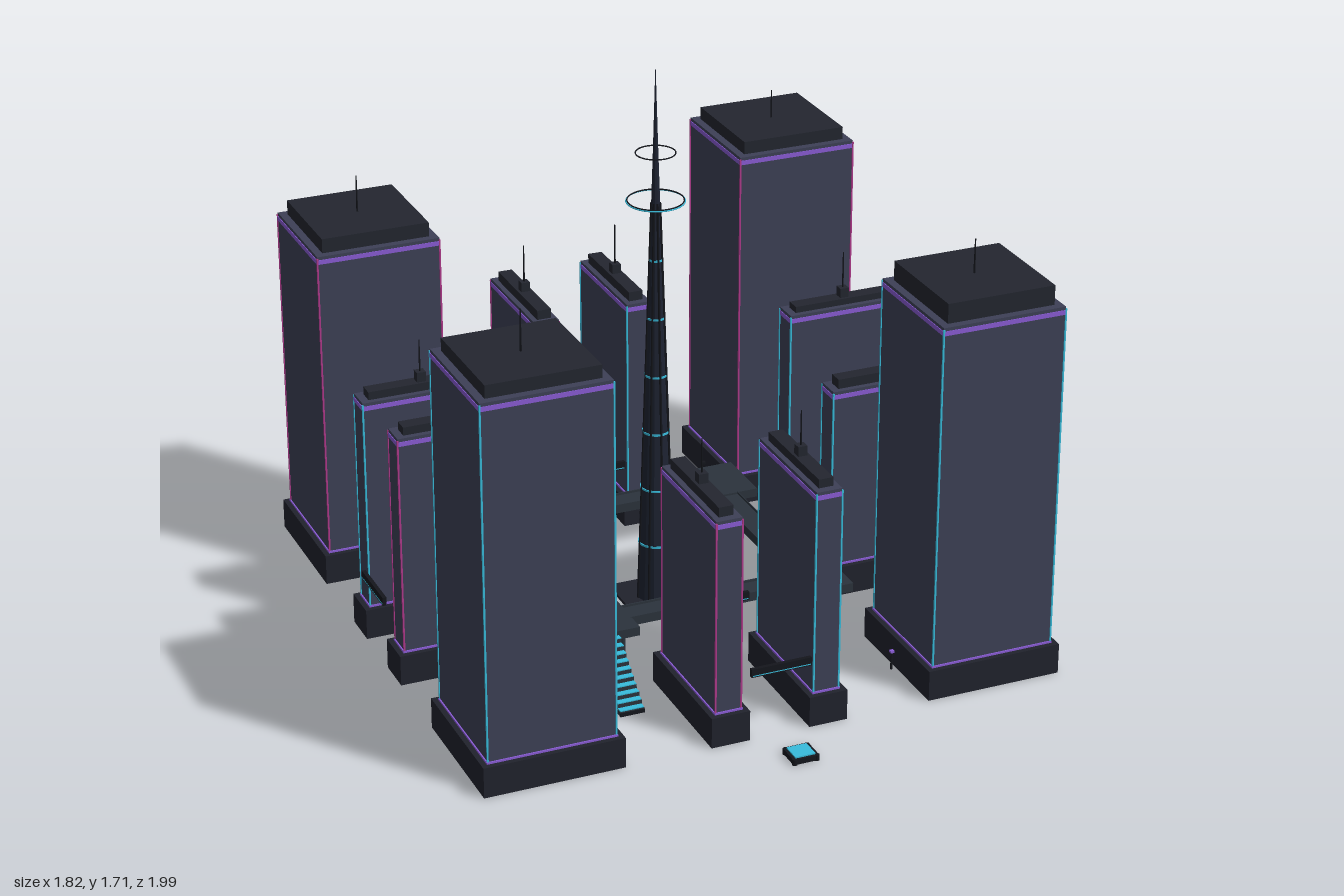
import * as THREE from 'three';

const mat = (color) => new THREE.MeshStandardMaterial({ color });
const CZ = -0.092; // z of the plaza centre

export function createModel() {
  const root = new THREE.Group();
  root.name = 'cityBlock';
  const M = {
    wall: mat(0x3d4056), podium: mat(0x20222c), roof: mat(0x23262f), deck: mat(0x2b333c),
    spire: mat(0x1e2332), metal: mat(0x14161c),
    teal: mat(0x38bcdc), purple: mat(0x8a5cd6), magenta: mat(0xb03a8c),
  };

  // Box standing on y
  const box = (parent, name, m, w, h, d, x, y, z) => {
    const mesh = new THREE.Mesh(new THREE.BoxGeometry(w, h, d), m);
    mesh.name = name;
    mesh.position.set(x, y + h / 2, z);
    parent.add(mesh);
    return mesh;
  };
  // Upright cylinder standing on y
  const post = (parent, name, m, rTop, rBase, h, x, y, z, sides = 8) => {
    const mesh = new THREE.Mesh(new THREE.CylinderGeometry(rTop, rBase, h, sides), m);
    mesh.name = name;
    mesh.position.set(x, y + h / 2, z);
    parent.add(mesh);
    return mesh;
  };
  const group = (name, x, z) => {
    const g = new THREE.Group();
    g.name = name;
    g.position.set(x, 0, z + CZ);
    root.add(g);
    return g;
  };

  // Building: podium, body, light strips, roof cap and antenna
  function building(name, x, z, w, d, top, capTop, antennaTop, edge) {
    const g = group(name, x, z);
    const bw = w - 0.04, bd = d - 0.04;
    const cw = w > 0.2 ? w - 0.088 : 0.045, cd = d > 0.2 ? d - 0.088 : 0.045;
    box(g, 'podium', M.podium, w, 0.095, d, 0, 0, 0);
    box(g, 'podiumStrip', M.purple, bw + 0.008, 0.006, bd + 0.008, 0, 0.095, 0);
    box(g, 'body', M.wall, bw, top - 0.095, bd, 0, 0.095, 0);
    box(g, 'roofStrip', M.purple, bw + 0.004, 0.014, bd + 0.004, 0, top - 0.024, 0);
    for (const sx of [-1, 1]) for (const sz of [-1, 1])
      box(g, 'edgeLight', edge, 0.005, top - 0.1, 0.005, sx * bw / 2, 0.095, sz * bd / 2);
    box(g, 'roofCap', M.roof, cw, capTop - top, cd, 0, top, 0);
    post(g, 'antenna', M.metal, 0.0018, 0.003, antennaTop - capTop, 0, capTop, 0, 6);
    if (w < 0.2 || d < 0.2) box(g, 'antennaBase', M.roof, 0.028, 0.03, 0.028, 0, capTop, 0);
  }

  // Four corner towers
  const P = 0.688, Q = 0.153, L = 0.425, S = 0.119;
  [[-P, P, 1.193, 1.232, 1.358, M.teal], [P, P, 1.17, 1.23, 1.335, M.teal],
    [P, -P, 1.185, 1.225, 1.315, M.magenta], [-P, -P, 1.08, 1.125, 1.24, M.magenta],
  ].forEach(([x, z, ...h]) => building('cornerTower', x, z, L, L, ...h));

  // Pairs of slab buildings on each side
  [[-Q, P, 0.705, 0.735, 0.87, M.magenta], [Q, P, 0.735, 0.762, 0.9, M.teal],
    [-Q, -P, 0.745, 0.775, 0.925, M.magenta], [Q, -P, 0.755, 0.785, 0.945, M.teal],
  ].forEach(([x, z, ...h]) => building('slabTower', x, z, S, L, ...h));
  [[P, Q, 0.68, 0.71, 0.86, M.teal], [P, -Q, 0.805, 0.825, 0.97, M.teal],
    [-P, Q, 0.785, 0.81, 0.93, M.magenta], [-P, -Q, 0.765, 0.79, 0.92, M.teal],
  ].forEach(([x, z, ...h]) => building('slabTower', x, z, L, S, ...h));

  // Crossbars over the alleys between the slabs
  for (const s of [-1, 1]) for (const r of [0.474, 0.903]) {
    const a = group('alleyBar', 0, s * r), b = group('alleyBar', s * r, 0);
    box(a, 'bar', M.metal, 0.187, 0.026, 0.012, 0, 0.206, 0);
    box(a, 'barLight', M.teal, 0.18, 0.003, 0.013, 0, 0.209, 0);
    box(b, 'bar', M.metal, 0.012, 0.026, 0.187, 0, 0.206, 0);
    box(b, 'barLight', M.teal, 0.013, 0.003, 0.18, 0, 0.209, 0);
  }

  // Raised walkway: corner pads on posts joined by bridges
  const R = 0.345, walk = group('walkway', 0, 0);
  for (const s of [-1, 1]) {
    box(walk, 'bridge', M.deck, 0.49, 0.022, 0.078, 0, 0.143, s * R);
    box(walk, 'bridge', M.deck, 0.078, 0.022, 0.49, s * R, 0.143, 0);
    for (const t of [-1, 1]) {
      box(walk, 'bridgeRail', M.deck, 0.49, 0.012, 0.004, 0, 0.16, s * R + t * 0.037);
      box(walk, 'bridgeRail', M.deck, 0.004, 0.012, 0.49, s * R + t * 0.037, 0.16, 0);
      box(walk, 'cornerPad', M.deck, 0.207, 0.028, 0.205, s * R, 0.143, t * R);
      for (const [px, pz] of [[0, 0], [-1, -1], [-1, 1], [1, -1], [1, 1]])
        post(walk, 'padPost', M.deck, 0.008, 0.008, 0.143, s * R + px * 0.065, 0, t * R + pz * 0.065);
    }
  }

  // Lit stairs down from two opposite pads
  for (const s of [-1, 1]) {
    const stair = group('stairs', -s * R, s * 0.446);
    const n = 10, run = 0.188 / n;
    for (let i = 0; i < n; i++) {
      const y = 0.155 * (1 - i / n), z = s * run * (i + 0.5);
      box(stair, 'step', M.deck, 0.076, 0.014, run, 0, y - 0.014, z);
      box(stair, 'tread', M.teal, 0.074, 0.003, run, 0, y, z);
    }
    box(stair, 'footPlate', M.metal, 0.076, 0.012, 0.006, 0, 0, s * 0.188);
  }

  // Central spire
  const spire = group('spire', 0, 0);
  const radius = (y) => (y < 1.3 ? 0.06 - 0.036 * y : 0.0132 * (1.71 - y) / 0.41);
  box(spire, 'basePlate', M.podium, 0.222, 0.01, 0.222, 0, 0, 0);
  const stops = [0.01, 0.195, 0.38, 0.565, 0.75, 0.935, 1.12, 1.305, 1.49, 1.71];
  M.spire.flatShading = true;
  for (let i = 0; i < stops.length - 1; i++) {
    const [a, b] = [stops[i], stops[i + 1]];
    post(spire, 'shaft', M.spire, Math.max(radius(b), 0.0008), radius(a), b - a, 0, a, 0, 12);
    if (i > 0 && i < 7) post(spire, 'lightRing', M.teal, radius(a) + 0.002, radius(a) + 0.002, 0.006, 0, a - 0.003, 0, 24);
  }
  // Ribs leaning along the shaft
  for (let i = 0; i < 8; i++) {
    const a = i * Math.PI / 4;
    const pts = [0.01, 1.3].map((y) => new THREE.Vector3(Math.cos(a) * radius(y), y, Math.sin(a) * radius(y)));
    const rib = new THREE.Mesh(new THREE.TubeGeometry(new THREE.LineCurve3(...pts), 1, 0.004, 5), M.metal);
    rib.name = 'rib';
    spire.add(rib);
  }
  // Floating hoops
  for (const [y, r, m] of [[1.305, 0.087, M.teal], [1.308, 0.084, M.metal], [1.455, 0.059, M.metal]]) {
    const hoop = new THREE.Mesh(new THREE.TorusGeometry(r, 0.002, 6, 40), m);
    hoop.name = 'hoop';
    hoop.rotation.x = Math.PI / 2;
    hoop.position.y = y;
    spire.add(hoop);
  }

  // Street lamps around the plaza
  const lamps = [];
  for (const s of [-1, 1]) {
    lamps.push([s * 0.46, -P], [s * 0.46, P], [s * 0.46, 0.169], [s * P, -0.461], [s * P, 0.462]);
    lamps.push([0.168, s * 0.462]);
  }
  lamps.forEach(([x, z], i) => {
    const lamp = group('streetLamp', x, z);
    post(lamp, 'pole', M.metal, 0.002, 0.004, 0.055, 0, 0, 0, 6);
    box(lamp, 'lampHead', i % 2 ? M.purple : M.metal, 0.012, 0.007, 0.012, 0, 0.055, 0);
  });

  // Low landing pad in front
  const pad = group('landingPad', 0, 1.042);
  box(pad, 'padBase', M.metal, 0.08, 0.016, 0.076, 0, 0.002, 0);
  box(pad, 'padLight', M.teal, 0.062, 0.005, 0.06, 0, 0.017, 0);
  for (const s of [-1, 1]) for (const t of [-1, 1])
    post(pad, 'padFoot', M.metal, 0.008, 0.008, 0.018, s * 0.034, 0, t * 0.032);

  return root;
}
